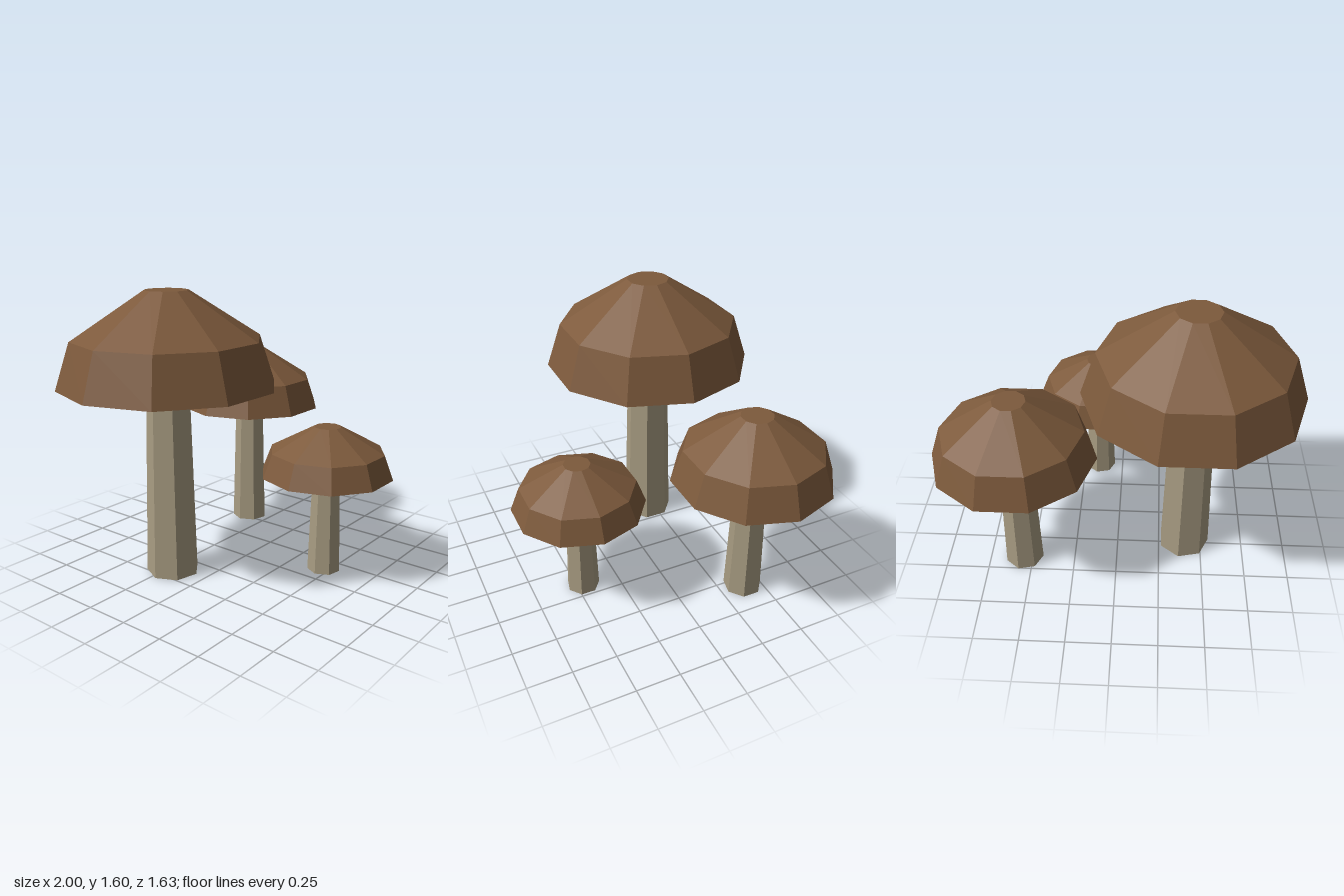
import * as THREE from 'three';

const capMaterial = new THREE.MeshStandardMaterial({ color: 0x7d5a3c, flatShading: true });
const stemMaterial = new THREE.MeshStandardMaterial({ color: 0xa89c82, flatShading: true });

function part(name, geometry, material, y = 0) {
  const mesh = new THREE.Mesh(geometry, material);
  mesh.name = name;
  mesh.position.y = y;
  return mesh;
}

// r: cap radius; under, rim, crease, top: heights of the cap's rings
function createMushroom({ name, x, z, r, under, rim, crease, top, stemBottom, stemTop }) {
  const mushroom = new THREE.Group();
  mushroom.name = name;

  // Seven-sided tapered stem, ending inside the cap
  const stem = new THREE.CylinderGeometry(stemTop, stemBottom, rim, 7);
  mushroom.add(part('stem', stem, stemMaterial, rim / 2));

  // Ten-sided cap with a shallow conical underside
  const profile = [
    [0, under], [0.3 * r, under], [r, rim],
    [0.86 * r, crease], [0.2 * r, top], [0, top],
  ].map(([px, py]) => new THREE.Vector2(px, py));
  mushroom.add(part('cap', new THREE.LatheGeometry(profile, 10), capMaterial));

  // Thin disc whose edge shows as a pale ring below the cap
  const discBottom = under + (rim - under) * 0.7;
  const thickness = (rim - under) * 0.25;
  const disc = new THREE.CylinderGeometry(0.85 * r, 0.85 * r, thickness, 10);
  mushroom.add(part('gillRing', disc, stemMaterial, discBottom + thickness / 2));

  mushroom.position.set(x, 0, z);
  mushroom.rotation.y = -Math.PI / 2; // a corner of each ring points to -x
  return mushroom;
}

export function createModel() {
  const model = new THREE.Group();
  model.name = 'mushroomCluster';
  const mushrooms = [
    { name: 'largeMushroom', x: -0.4, z: -0.22, r: 0.6, under: 1.03, rim: 1.09,
      crease: 1.345, top: 1.6, stemBottom: 0.15, stemTop: 0.122 },
    { name: 'mediumMushroom', x: 0.55, z: -0.395, r: 0.448, under: 0.74, rim: 0.785,
      crease: 0.967, top: 1.155, stemBottom: 0.111, stemTop: 0.091 },
    { name: 'smallMushroom', x: 0.148, z: 0.458, r: 0.374, under: 0.547, rim: 0.581,
      crease: 0.717, top: 0.853, stemBottom: 0.095, stemTop: 0.077 },
  ];
  for (const m of mushrooms) model.add(createMushroom(m));
  return model;
}
